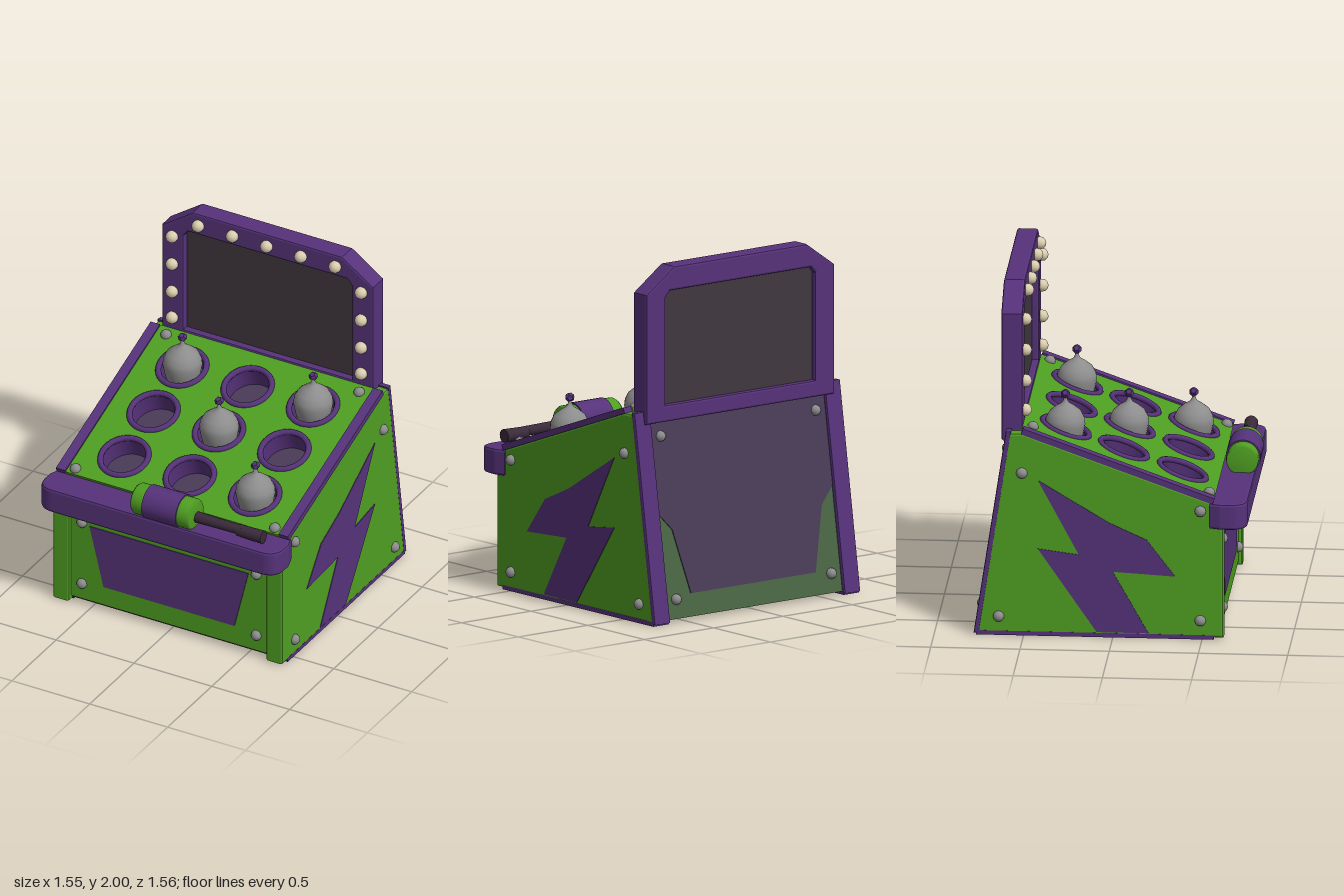
import * as THREE from 'three';

const mat = (name, color, side = THREE.FrontSide) => {
  const m = new THREE.MeshStandardMaterial({ color, side });
  m.name = name;
  return m;
};

export function createModel() {
  const green = mat('green', 0x4f9f22);
  const purple = mat('purple', 0x56327a, THREE.DoubleSide);
  const mutedPurple = mat('muted purple', 0x4a3b57);
  const mutedGreen = mat('muted green', 0x4a6644);
  const dark = mat('dark screen', 0x40373f);
  const handleDark = mat('handle dark', 0x3a2a3a);
  const cream = mat('cream', 0xdccfb0);
  const grey = mat('grey', 0x8c8d8c);

  const root = new THREE.Group();
  root.name = 'arcadeCabinet';
  const add = (name, geo, material, pos = [0, 0, 0], parent = root) => {
    const mesh = new THREE.Mesh(geo, material);
    mesh.name = name;
    mesh.position.set(...pos);
    parent.add(mesh);
    return mesh;
  };
  const poly = pts => new THREE.Shape(pts.map(p => new THREE.Vector2(p[0], p[1])));
  const extrude = (shape, depth, bevel = 0) => {
    const g = new THREE.ExtrudeGeometry(shape, {
      depth: depth - 2 * bevel, bevelEnabled: bevel > 0, bevelSize: bevel, bevelThickness: bevel,
      bevelOffset: -bevel, bevelSegments: 2, curveSegments: 32,
    });
    return g.translate(0, 0, bevel);
  };
  // profile given as [z, y], extruded along x between x0 and x0 + thickness
  const sideExtrude = (pts, x0, thick, bevel = 0) =>
    extrude(poly(pts.map(([z, y]) => [-z, y])), thick, bevel).rotateY(Math.PI / 2).translate(x0, 0, 0);
  const box = (w, h, d) => new THREE.BoxGeometry(w, h, d);

  // Sloping deck frame: local +z runs down the slope towards the front
  const slope = 0.3585, tilt = Math.atan(slope), deckY = z => 1.011 - z * slope;
  const deck = new THREE.Group();
  deck.name = 'deck';
  deck.position.y = deckY(0);
  deck.rotation.x = tilt;
  root.add(deck);
  const along = z => z / Math.cos(tilt);

  // Leaning back frame: local +z points out of the back, local y up along it
  const back = new THREE.Group();
  back.name = 'back';
  back.position.set(0, 0.02, -0.755);
  back.rotation.set(Math.atan(0.18 / 1.17), 0, 0);
  root.add(back);

  // Side walls, trims and lightning bolts
  const wall = [[0.62, 0.01], [0.62, 0.77], [0.56, 0.8], [-0.5, 1.18], [-0.59, 1.18], [-0.765, 0.01]];
  const bolt = [[-0.42, 0.91], [-0.02, 0.67], [0.19, 0.575], [0.35, 0.365], [0, 0.385], [0.2, 0.03],
    [-0.09, 0.03], [-0.42, 0.51], [-0.19, 0.48]];
  const backEdge = [[-0.57, 1.19], [-0.6, 1.19], [-0.78, 0.01], [-0.75, 0.01]];
  const rivet = new THREE.IcosahedronGeometry(0.032, 1);
  for (const s of [1, -1]) {
    const x0 = (a, t) => (s > 0 ? a : -a - t);
    add('sideWall', sideExtrude(wall, x0(0.63, 0.11), 0.11, 0.015), green);
    add('lightningBolt', sideExtrude(bolt, x0(0.738, 0.006), 0.006), purple);
    add('backEdgeTrim', sideExtrude(backEdge, x0(0.63, 0.113), 0.113, 0.008), purple);
    add('baseTrim', box(0.108, 0.025, 1.33), purple, [s * 0.687, 0.0125, -0.1]);
    add('deckRail', box(0.06, 0.035, 1.14), purple, [s * 0.715, 0, 0.03], deck);
    for (const [z, y] of [[0.49, 0.75], [0.49, 0.11], [-0.51, 0.95], [-0.64, 0.11]])
      add('sideRivet', rivet, grey, [s * 0.742, y, z]);
    for (const y of [0.54, 0.14]) add('frontRivet', rivet, grey, [s * 0.56, y, 0.6]);
    for (const [x, z] of [[0.64, 0.53], [0.62, -0.46]])
      add('deckRivet', rivet, grey, [s * x, 0.01, along(z)], deck);
    for (const y of [1.03, 0.11]) add('backRivet', rivet, grey, [s * 0.56, y, -0.005], back);
  }

  // Front panel, back panel and floor
  add('frontPanel', box(1.28, 0.72, 0.04), green, [0, 0.4, 0.58]);
  add('frontInlay', extrude(poly([[-0.51, 0.53], [-0.42, 0.16], [0.42, 0.16], [0.51, 0.53]]), 0.006),
    purple, [0, 0, 0.599]);
  add('floor', box(1.28, 0.02, 1.33), handleDark, [0, 0.035, -0.08]);
  add('backPanel', box(1.28, 1.16, 0.03), mutedGreen, [0, 0.58, 0.015], back);
  add('backInlay', extrude(poly([[-0.63, 1.15], [-0.63, 0.6], [-0.54, 0.5], [-0.45, 0.13],
    [0.45, 0.13], [0.54, 0.5], [0.63, 0.6], [0.63, 1.15]]), 0.007), mutedPurple, [0, 0, -0.006], back);
  add('rearShelf', box(1.36, 0.04, 0.12), purple, [0, 1.165, -0.54]);

  // Deck plate with nine holes, each lined by a cup and a rim
  const plate = poly([[-0.687, -0.6], [0.687, -0.6], [0.687, 0.545], [-0.687, 0.545]]);
  const cols = [-0.42, 0, 0.42], rows = [-0.29, 0.035, 0.365];
  const cupWall = new THREE.CylinderGeometry(0.13, 0.13, 0.13, 32, 1, true);
  const cupFloor = new THREE.CircleGeometry(0.13, 32).rotateX(-Math.PI / 2);
  const rim = new THREE.TorusGeometry(0.137, 0.017, 8, 36).rotateX(Math.PI / 2);
  for (const x of cols) for (const z of rows) {
    const lz = along(z);
    const hole = new THREE.Path();
    hole.absarc(x, -lz, 0.13, 0, Math.PI * 2, true);
    plate.holes.push(hole);
    add('cupWall', cupWall, purple, [x, -0.06, lz], deck);
    add('cupFloor', cupFloor, mutedPurple, [x, -0.122, lz], deck);
    add('cupRim', rim, purple, [x, 0.008, lz], deck);
  }
  add('deckPlate', extrude(plate, 0.03).rotateX(-Math.PI / 2), green, [0, -0.022, 0], deck);

  // Pop-up targets with a thin stem and a small knob
  const dome = new THREE.LatheGeometry([[0.075, -0.11], [0.1, -0.03], [0.112, 0.03], [0.108, 0.065],
    [0.088, 0.105], [0.05, 0.135], [0.022, 0.152], [0.011, 0.17], [0.009, 0.2], [0, 0.2]]
    .map(p => new THREE.Vector2(...p)), 24);
  for (const [c, r] of [[0, 0], [2, 0], [1, 1], [2, 2]]) {
    const g = new THREE.Group();
    g.name = 'popUpTarget';
    g.position.set(cols[c], deckY(rows[r]), rows[r]);
    root.add(g);
    add('targetDome', dome, grey, [0, 0, 0], g);
    add('targetKnob', new THREE.DodecahedronGeometry(0.027), purple, [0, 0.205, 0], g);
  }

  // Front tray with rounded front corners
  const tray = new THREE.Shape();
  tray.moveTo(-0.75, -0.54);
  tray.lineTo(0.75, -0.54);
  tray.lineTo(0.77, -0.6);
  tray.lineTo(0.77, -0.66);
  tray.quadraticCurveTo(0.765, -0.75, 0.67, -0.752);
  tray.lineTo(-0.67, -0.752);
  tray.quadraticCurveTo(-0.765, -0.75, -0.77, -0.66);
  tray.lineTo(-0.77, -0.6);
  add('frontTray', extrude(tray, 0.15, 0.015).rotateX(-Math.PI / 2), purple, [0, 0.65, 0]);

  // Mallet lying on the tray
  const rod = (r0, r1, len) => new THREE.CylinderGeometry(r0, r1, len, 28).rotateZ(-Math.PI / 2);
  const headY = 0.868, headZ = 0.68;
  add('malletBand', rod(0.098, 0.098, 0.22), purple, [0.03, headY, headZ]);
  for (const s of [1, -1]) {
    const cap = new THREE.LatheGeometry([[0.09, 0], [0.09, 0.065], [0.08, 0.08], [0, 0.08]]
      .map(p => new THREE.Vector2(...p)), 28).rotateZ(-s * Math.PI / 2);
    add('malletCap', cap, green, [0.03 + s * 0.11, headY, headZ]);
  }
  add('malletHandle', rod(0.027, 0.032, 0.3), handleDark, [0.36, 0.852, 0.675]);
  add('malletGrip', rod(0.038, 0.034, 0.16), handleDark, [0.565, 0.845, 0.67]);

  // Upright sign: bevelled frame, dark screen and bulbs
  const sign = poly([[-0.68, 1.12], [0.68, 1.12], [0.68, 1.86], [0.48, 2], [-0.48, 2], [-0.68, 1.86]]);
  sign.holes.push(new THREE.Path([[-0.54, 1.215], [-0.54, 1.83], [-0.51, 1.865], [0.51, 1.865],
    [0.54, 1.83], [0.54, 1.215]].map(p => new THREE.Vector2(...p))));
  add('signFrame', extrude(sign, 0.12, 0.012), purple, [0, 0, -0.63]);
  add('signScreen', box(1.12, 0.69, 0.05), dark, [0, 1.54, -0.575]);
  const bulb = new THREE.IcosahedronGeometry(0.037, 1);
  const bulbs = [-0.44, -0.22, 0, 0.22, 0.44].map(x => [x, 1.93]);
  for (const y of [1.28, 1.45, 1.63, 1.81]) bulbs.push([-0.607, y], [0.607, y]);
  for (const [x, y] of bulbs) add('bulb', bulb, cream, [x, y, -0.5]);

  return root;
}
